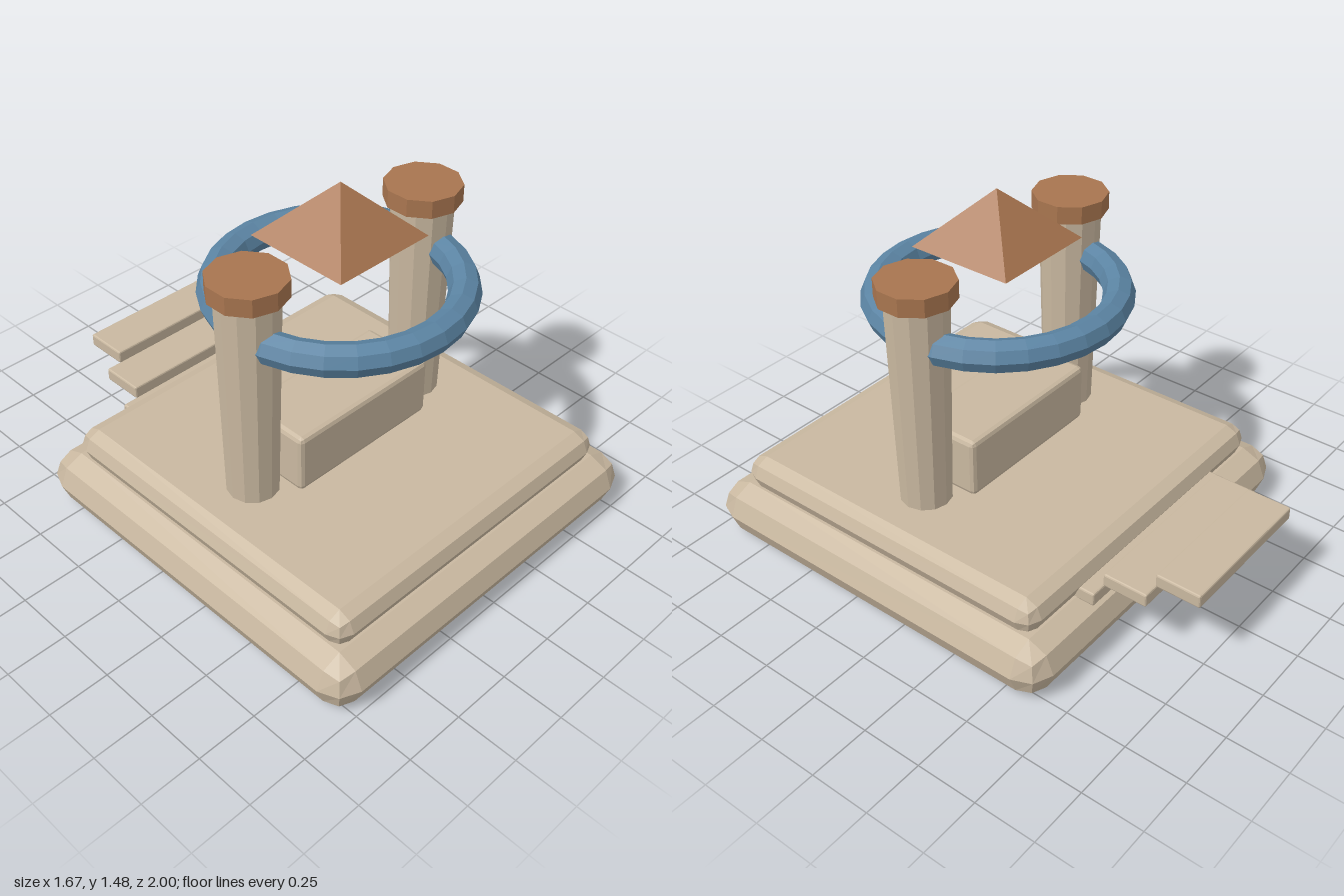
import * as THREE from 'three';
import { RoundedBoxGeometry } from 'three/addons/geometries/RoundedBoxGeometry.js';

export function createModel() {
  const model = new THREE.Group();
  model.name = 'shrine';

  const material = (name, color) => {
    const m = new THREE.MeshStandardMaterial({ color, flatShading: true });
    m.name = name;
    return m;
  };
  const stone = material('stone', 0xc9b8a0);
  const copper = material('copper', 0xa8754f);
  const blue = material('blue', 0x5b84a3);

  const CZ = 0.165; // centre of the platform along z

  const add = (name, geometry, mat, x, y, z) => {
    const mesh = new THREE.Mesh(geometry, mat);
    mesh.name = name;
    mesh.position.set(x, y, z);
    model.add(mesh);
    return mesh;
  };
  // Chamfered block placed by its bottom height
  const block = (name, w, h, d, r, bottom, z) =>
    add(name, new RoundedBoxGeometry(w, h, d, 1, r), stone, 0, bottom + h / 2, z);

  // Two stacked square tiers and the altar on top
  block('lowerTier', 1.67, 0.22, 1.67, 0.11, 0, CZ);
  block('upperTier', 1.475, 0.14, 1.475, 0.07, 0.204, CZ);
  block('altar', 0.7, 0.25, 0.315, 0.02, 0.342, CZ);

  // Steps at the back, rising and narrowing outward
  for (let i = 0; i < 3; i++) {
    block('step' + (i + 1), 0.89 - i * 0.127, 0.056, 0.188, 0.007,
      0.213 + i * 0.053, -0.541 - i * 0.1825);
  }

  // Pair of flaring columns with ten-sided caps
  for (const [side, x] of [['left', 0.45], ['right', -0.45]]) {
    add(side + 'Column', new THREE.CylinderGeometry(0.125, 0.103, 0.9, 12), stone, x, 0.785, CZ);
    add(side + 'Cap', new THREE.CylinderGeometry(0.153, 0.153, 0.073, 10), copper, x, 1.26, CZ);
  }

  // Horizontal ring threaded through both columns
  const ring = new THREE.TorusGeometry(0.462, 0.063, 8, 28);
  ring.rotateX(-Math.PI / 2);
  add('ring', ring, blue, 0, 1.047, CZ);

  // Floating pyramid above the altar
  const pyramid = new THREE.ConeGeometry(0.225 * Math.SQRT2, 0.22, 4);
  pyramid.rotateY(Math.PI / 4);
  add('pyramid', pyramid, copper, 0, 1.366, CZ);

  return model;
}
